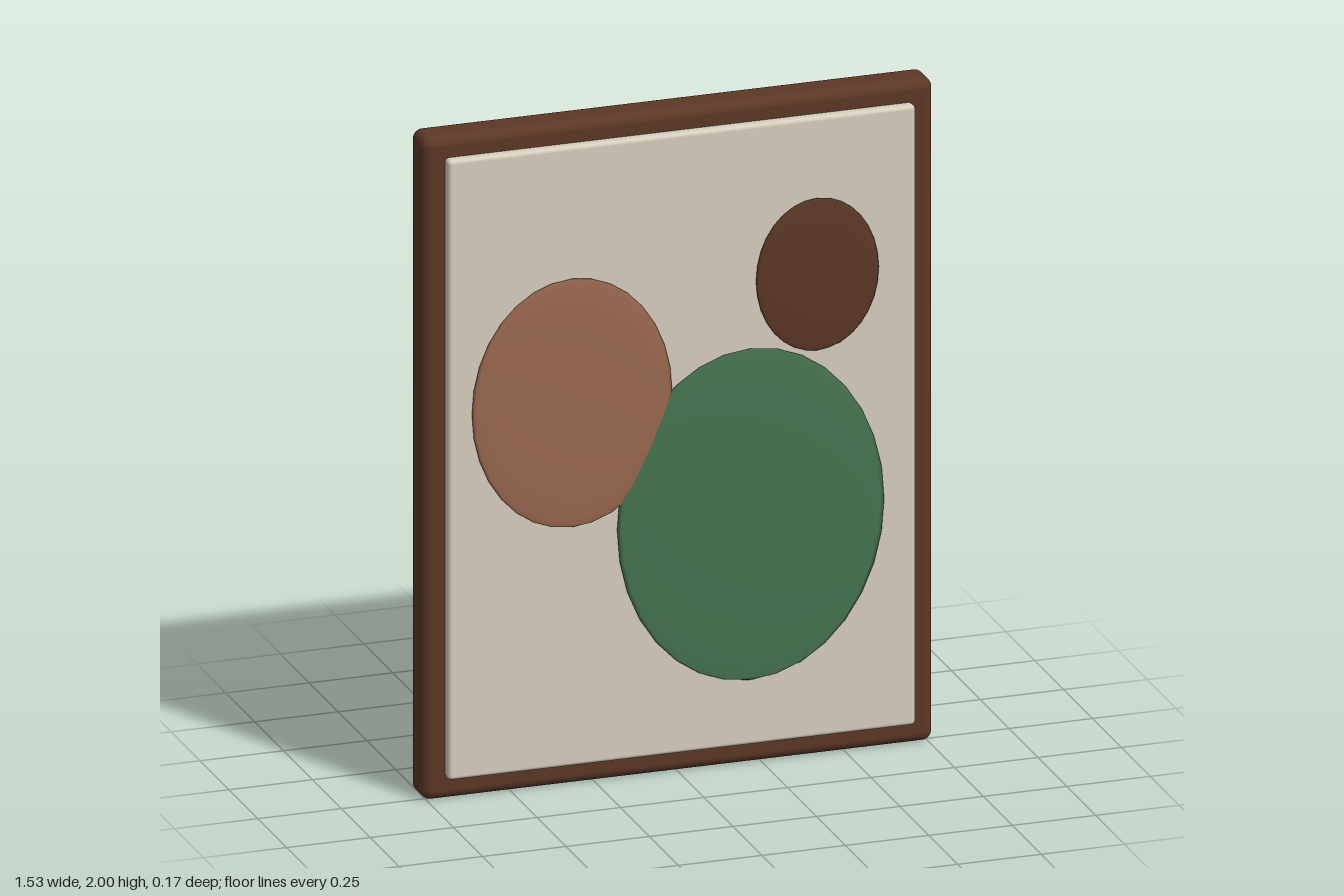
import * as THREE from 'three';
import { RoundedBoxGeometry } from 'three/addons/geometries/RoundedBoxGeometry.js';

function material(name, color) {
  const m = new THREE.MeshStandardMaterial({ color });
  m.name = name;
  return m;
}

export function createModel() {
  const model = new THREE.Group();
  model.name = 'framedWallArt';

  const brown = material('walnutBrown', 0x5c3826);
  const cream = material('canvasCream', 0xd6cebe);
  const clay = material('terracotta', 0x9a6850);
  const green = material('leafGreen', 0x467450);

  const add = (name, geometry, mat, x, y, z) => {
    const mesh = new THREE.Mesh(geometry, mat);
    mesh.name = name;
    mesh.position.set(x, y, z);
    model.add(mesh);
    return mesh;
  };

  // Solid backing frame and the canvas panel set into its front
  add('frame', new RoundedBoxGeometry(1.53, 2, 0.115, 4, 0.03), brown, 0, 1, -0.0275);
  add('canvas', new RoundedBoxGeometry(1.4, 1.87, 0.04, 3, 0.012), cream, 0, 1.003, 0.042);

  // Flattened painted ovals: name, material, centre, half width, half height
  const ovals = [
    ['terracottaOval', clay, -0.335, 1.17, 0.3, 0.375],
    ['greenOval', green, 0.2, 0.77, 0.4, 0.5],
    ['brownOval', brown, 0.4, 1.47, 0.184, 0.23],
  ];
  for (const [name, mat, x, y, rx, ry] of ovals) {
    add(name, new THREE.SphereGeometry(1, 24, 16), mat, x, y, 0.075).scale.set(rx, ry, 0.01);
  }

  return model;
}
